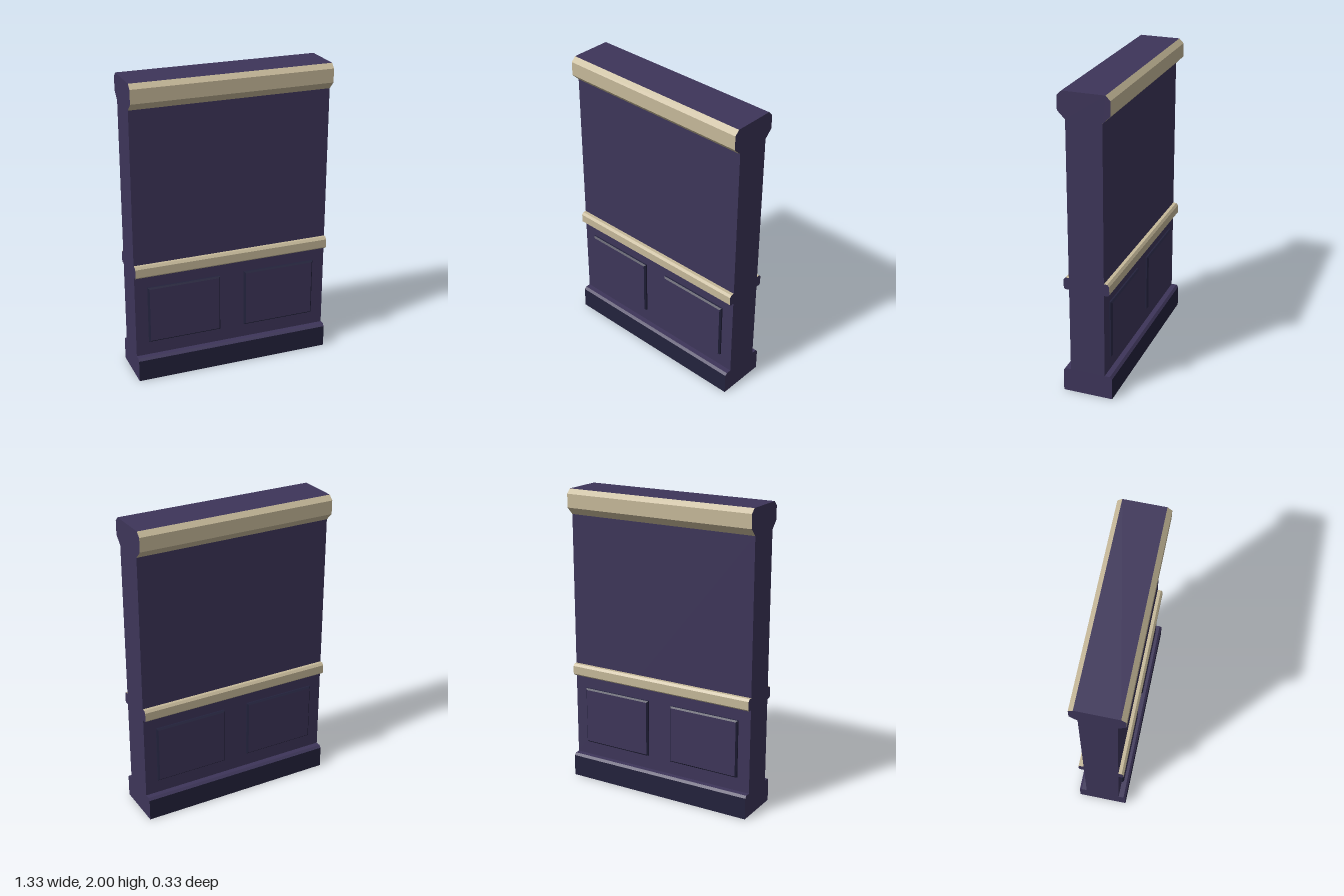
import * as THREE from 'three';

const HALF = 0.665; // half the wall length

export function createModel() {
  const group = new THREE.Group();
  const wallPurple = new THREE.MeshStandardMaterial({ color: 0x3d3559 });
  const trimTan = new THREE.MeshStandardMaterial({ color: 0xc5b899 });
  const baseNavy = new THREE.MeshStandardMaterial({ color: 0x23223c });
  wallPurple.name = 'wallPurple';
  trimTan.name = 'trimTan';
  baseNavy.name = 'baseNavy';

  // Extrudes a [z, y] profile along x; ends are wall coloured
  function addProfile(name, points, sideMaterial, turn = 0) {
    const shape = new THREE.Shape(points.map(([z, y]) => new THREE.Vector2(z, y)));
    const geometry = new THREE.ExtrudeGeometry(shape, { depth: HALF * 2, bevelEnabled: false });
    geometry.rotateY(-Math.PI / 2).translate(HALF, 0, 0);
    const mesh = new THREE.Mesh(geometry, [wallPurple, sideMaterial]);
    mesh.name = name;
    mesh.rotation.y = turn;
    group.add(mesh);
  }

  // Wall core, with the bevelled ledge above the plinth
  const half = [[0.165, 0.145], [0.15, 0.16], [0.115, 0.16], [0.115, 1.83], [0.135, 2]];
  addProfile('wallCore', [...half, ...half.map(([z, y]) => [-z, y]).reverse()], wallPurple);

  // Plinth
  addProfile('plinth', [[-0.165, 0], [0.165, 0], [0.165, 0.145], [-0.165, 0.145]], baseNavy);

  // Raised panel with a bevelled rim
  const w = 0.495, h = 0.39, b = 0.01;
  const panelShape = new THREE.Shape([
    new THREE.Vector2(-w / 2 + b, -h / 2 + b), new THREE.Vector2(w / 2 - b, -h / 2 + b),
    new THREE.Vector2(w / 2 - b, h / 2 - b), new THREE.Vector2(-w / 2 + b, h / 2 - b),
  ]);
  const panelGeometry = new THREE.ExtrudeGeometry(panelShape, {
    depth: 0.03, bevelThickness: b, bevelSize: b, bevelSegments: 1,
  });
  panelGeometry.translate(0, 0.45, 0.135 - 0.03 - b);

  // Mouldings and panels on the front and back
  for (const [side, turn] of [['front', 0], ['back', Math.PI]]) {
    addProfile(side + 'Cornice',
      [[0.115, 1.83], [0.165, 1.88], [0.165, 1.97], [0.135, 2]], trimTan, turn);
    addProfile(side + 'ChairRail',
      [[0.115, 0.73], [0.14, 0.73], [0.15, 0.74], [0.15, 0.795], [0.137, 0.81], [0.115, 0.81]],
      trimTan, turn);
    const panels = new THREE.Group();
    panels.name = side + 'Panels';
    panels.rotation.y = turn;
    for (const s of [-1, 1]) {
      const panel = new THREE.Mesh(panelGeometry, [wallPurple, baseNavy]);
      panel.name = s < 0 ? 'rightPanel' : 'leftPanel';
      panel.position.x = s * 0.3325;
      panels.add(panel);
    }
    group.add(panels);
  }
  return group;
}
